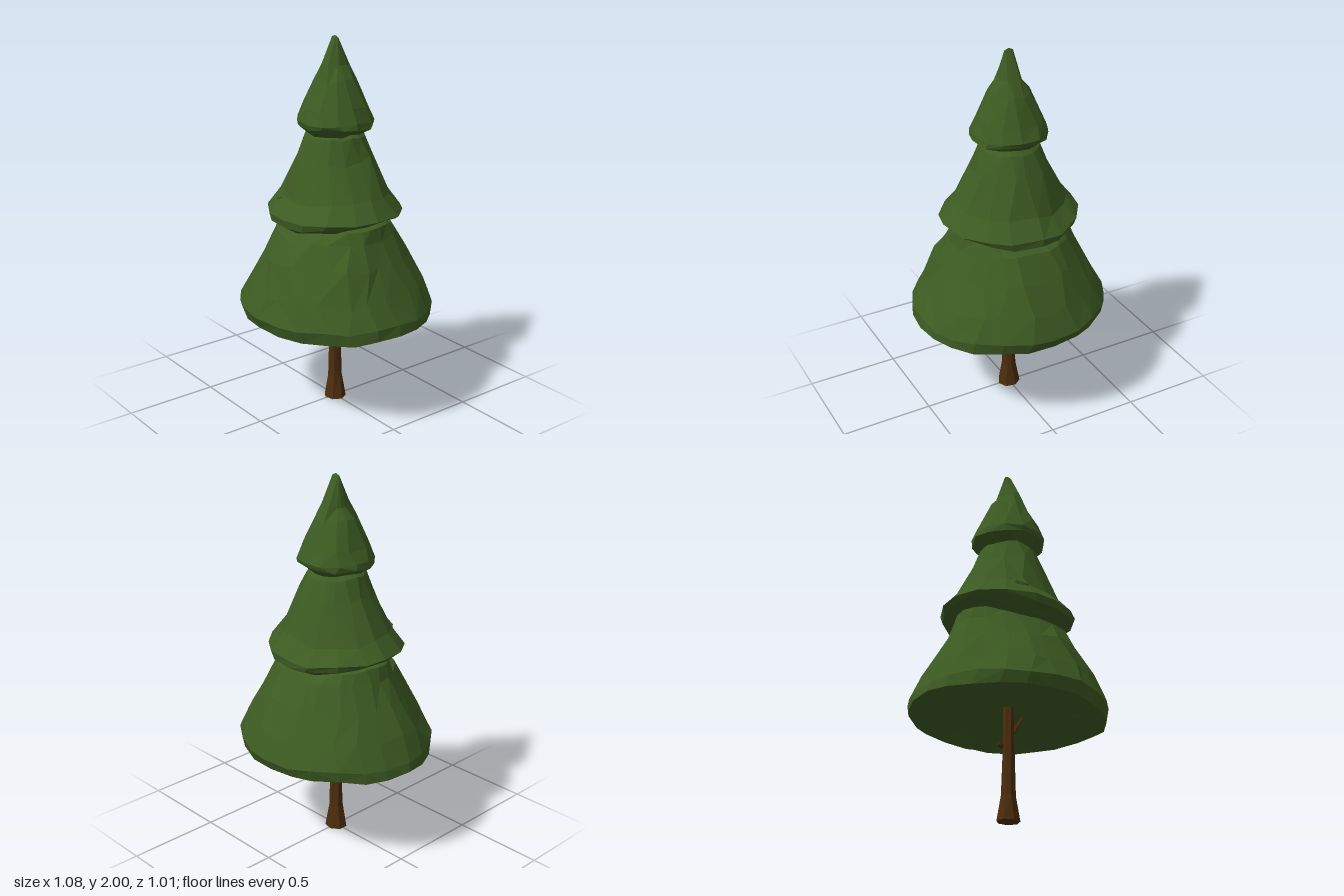
import * as THREE from 'three';

// Small seeded generator for hand-cut irregularity, range -1..1
function makeRandom(seed) {
  let s = seed;
  return () => {
    s = (s * 16807) % 2147483647;
    return (s / 2147483647) * 2 - 1;
  };
}

// Closed faceted skirt from elliptical rings, listed from underside centre, out, and up.
// ring = [y, radiusX, radiusZ, saddle, fold, wave]
// saddle lifts the x sides and drops front/back, fold makes vertical creases, wave varies height
function skirt(rings, sides, seed) {
  const rnd = makeRandom(seed);
  const creases = Array.from({ length: sides }, rnd);
  const pts = rings.map(([y, rx, rz, saddle = 0, fold = 0, wave = 0]) =>
    creases.map((crease, i) => {
      const a = ((i + rnd() * Math.min(fold * 10, 0.3)) / sides) * Math.PI * 2;
      const k = 1 + (crease * 0.75 + rnd() * 0.45) * fold;
      return [
        Math.cos(a) * rx * k,
        y + saddle * Math.cos(2 * a) + rnd() * wave,
        Math.sin(a) * rz * k,
      ];
    }));
  const out = [];
  for (let r = 0; r < pts.length - 1; r++) {
    for (let i = 0; i < sides; i++) {
      const j = (i + 1) % sides;
      const a = pts[r][i], b = pts[r][j], c = pts[r + 1][i], d = pts[r + 1][j];
      // Vary the diagonal so the facets look carved
      if (rnd() > 0) out.push(...a, ...c, ...b, ...b, ...c, ...d);
      else out.push(...a, ...c, ...d, ...a, ...d, ...b);
    }
  }
  const g = new THREE.BufferGeometry();
  g.setAttribute('position', new THREE.Float32BufferAttribute(out, 3));
  g.computeVertexNormals();
  return g;
}

// Tapered stick between two points
function stick(from, to, r0, r1, sides) {
  const a = new THREE.Vector3(...from), b = new THREE.Vector3(...to);
  const dir = b.clone().sub(a);
  const g = new THREE.CylinderGeometry(r1, r0, dir.length(), sides);
  g.applyQuaternion(new THREE.Quaternion().setFromUnitVectors(new THREE.Vector3(0, 1, 0), dir.normalize()));
  g.translate((a.x + b.x) / 2, (a.y + b.y) / 2, (a.z + b.z) / 2);
  return g;
}

export function createModel() {
  const tree = new THREE.Group();
  tree.name = 'pineTree';
  const green = new THREE.MeshStandardMaterial({ color: 0x3d5b22, flatShading: true });
  green.name = 'needle green';
  const brown = new THREE.MeshStandardMaterial({ color: 0x4c2d0d, flatShading: true });
  brown.name = 'bark brown';

  const add = (name, geometry, material) => {
    const m = new THREE.Mesh(geometry, material);
    m.name = name;
    tree.add(m);
    return m;
  };

  // Trunk with flared foot
  add('trunk', skirt([
    [0, 0, 0],
    [0, 0.063, 0.058],
    [0.13, 0.038, 0.038, 0, 0.03],
    [0.4, 0.031, 0.032, 0, 0.03],
    [0.62, 0.027, 0.027],
    [0.62, 0, 0],
  ], 7, 5), brown);

  // Branch and broken stubs
  add('branch', stick([0.015, 0.45, 0], [0.09, 0.56, 0.01], 0.014, 0.01, 5), brown);
  add('leftStub', stick([-0.015, 0.385, -0.01], [-0.05, 0.4, -0.02], 0.016, 0.011, 5), brown);
  add('backStub', stick([0, 0.385, -0.015], [-0.01, 0.405, -0.045], 0.016, 0.011, 5), brown);

  // Bottom skirt, shallow hollow underneath and a ragged hem
  add('lowerFoliage', skirt([
    [0.6, 0, 0],
    [0.585, 0.2, 0.18, 0, 0.08, 0.015],
    [0.555, 0.34, 0.31, 0, 0.06, 0.02],
    [0.513, 0.46, 0.425, 0, 0.03, 0.015],
    [0.535, 0.538, 0.48, 0, 0.014, 0.012],
    [0.593, 0.53, 0.505, 0, 0.012, 0.012],
    [0.71, 0.465, 0.455, 0, 0.035, 0.025],
    [0.86, 0.393, 0.378, 0, 0.045, 0.025],
    [0.985, 0.328, 0.3, 0, 0.035, 0.012],
    [1.03, 0.312, 0.25, 0.028, 0.02, 0.006],
    [1.06, 0.21, 0.18, 0.01],
    [1.06, 0, 0],
  ], 24, 42), green);

  // Middle skirt, drooping at front and back
  add('middleFoliage', skirt([
    [1.03, 0, 0],
    [1.035, 0.21, 0.2, 0.01],
    [1.045, 0.29, 0.275, 0.025, 0.03, 0.008],
    [1.075, 0.35, 0.34, 0.02, 0.02, 0.008],
    [1.103, 0.372, 0.346, 0.01, 0.012, 0.008],
    [1.185, 0.302, 0.272, 0.008, 0.02, 0.015],
    [1.38, 0.2, 0.2, 0, 0.03, 0.02],
    [1.49, 0.158, 0.152, 0, 0.03, 0.01],
    [1.515, 0.12, 0.12],
    [1.52, 0, 0],
  ], 16, 77), green);

  // Small tuft sunk into the middle skirt
  const tuft = add('tuft', new THREE.IcosahedronGeometry(0.06, 0), green);
  tuft.position.set(-0.13, 1.165, 0.215);
  tuft.rotation.set(0.4, 0.3, 0.5);

  // Top skirt ending in a short ridge
  add('upperFoliage', skirt([
    [1.515, 0, 0],
    [1.508, 0.14, 0.14, 0, 0.04, 0.008],
    [1.545, 0.203, 0.192, 0, 0.02, 0.008],
    [1.575, 0.197, 0.202, 0, 0.015, 0.008],
    [1.64, 0.168, 0.175, 0, 0.03, 0.015],
    [1.77, 0.103, 0.114, 0, 0.06, 0.02],
    [1.85, 0.06, 0.077, 0, 0.07, 0.015],
    [1.99, 0.024, 0.008],
    [2.0, 0, 0],
  ], 13, 19), green);

  return tree;
}
